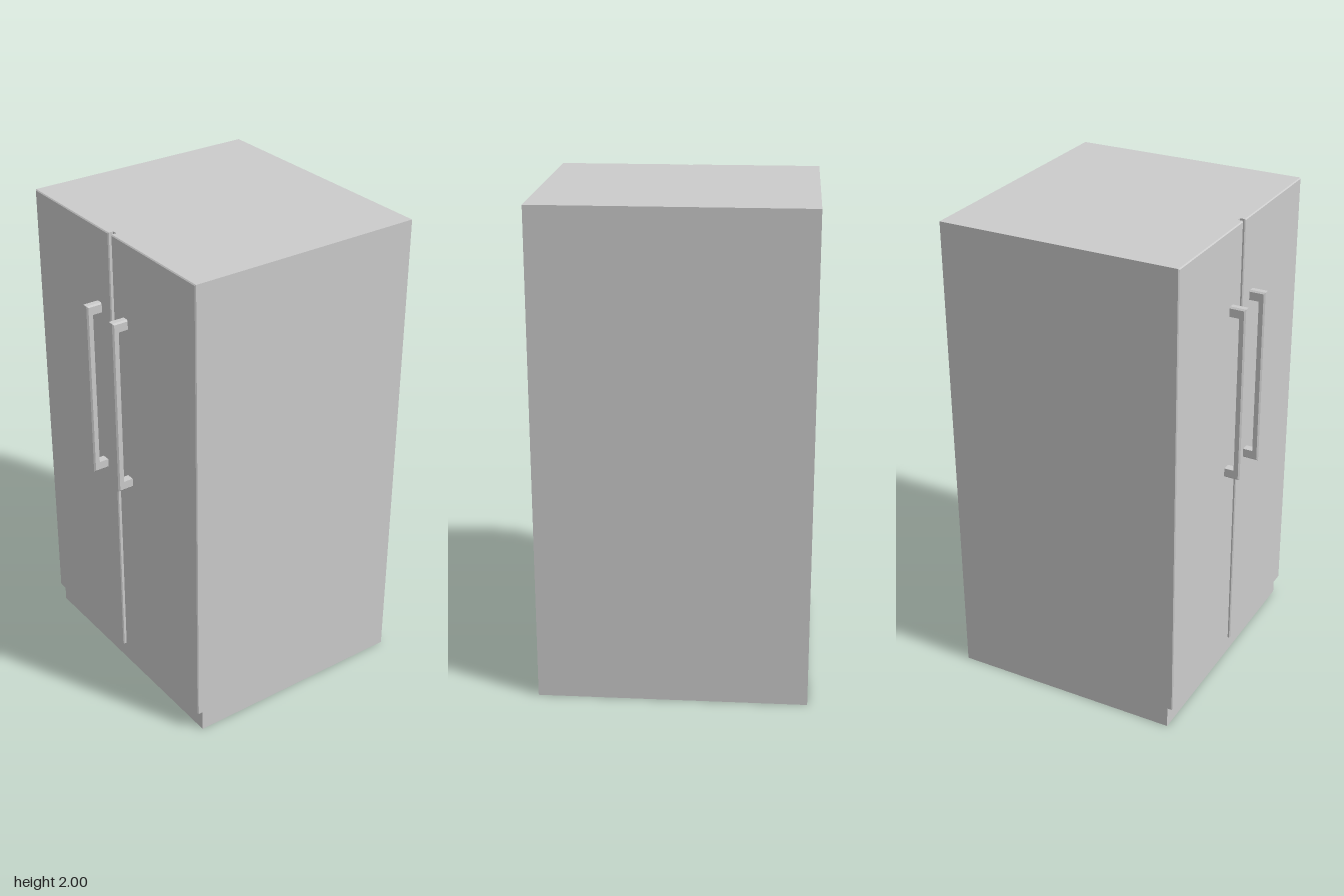
import * as THREE from 'three';

const material = new THREE.MeshStandardMaterial({ color: 0xcccccc, flatShading: true });

// Closed solid through convex cross-sections, each counter-clockwise seen from the far end
function loft(rings) {
  const pos = [];
  const tri = (...pts) => pts.forEach((p) => pos.push(...p));
  const n = rings[0].length;
  for (let i = 0; i < rings.length - 1; i++) {
    for (let j = 0; j < n; j++) {
      const k = (j + 1) % n;
      const [a, b, c, d] = [rings[i][j], rings[i][k], rings[i + 1][k], rings[i + 1][j]];
      tri(a, b, c);
      tri(a, c, d);
    }
  }
  const first = rings[0], last = rings[rings.length - 1];
  for (let j = 1; j < n - 1; j++) {
    tri(first[0], first[j + 1], first[j]);
    tri(last[0], last[j], last[j + 1]);
  }
  const geometry = new THREE.BufferGeometry();
  geometry.setAttribute('position', new THREE.Float32BufferAttribute(pos, 3));
  geometry.computeVertexNormals();
  return geometry;
}

// Door panel with a small chamfer around its outer face
function doorGeometry(z0, z1) {
  const ring = (x, inset) => {
    const y0 = 0.09 + inset, y1 = 2 - inset, a = z0 + inset, b = z1 - inset;
    return [[x, y0, a], [x, y0, b], [x, y1, b], [x, y1, a]];
  };
  return loft([ring(-0.44, 0), ring(-0.459, 0), ring(-0.463, 0.004)]);
}

// C-shaped pull: a bar with chamfered outer edges, mitred at both corners
function handleGeometry(zMid) {
  const half = 0.0165, c = 0.006, z0 = zMid - half, z1 = zMid + half;
  const stations = [ // outer x, y and inner x, y
    [-0.46, 1.692, -0.46, 1.652],
    [-0.528, 1.692, -0.503, 1.652],
    [-0.528, 0.955, -0.503, 0.995],
    [-0.46, 0.955, -0.46, 0.995],
  ];
  return loft(stations.map(([ox, oy, ix, iy]) => {
    const sx = ox + c * Math.sign(ix - ox), sy = oy + c * Math.sign(iy - oy);
    return [[ix, iy, z0], [ix, iy, z1], [sx, sy, z1], [ox, oy, z1 - c], [ox, oy, z0 + c], [sx, sy, z0]];
  }));
}

export function createModel() {
  const group = new THREE.Group();
  group.name = 'refrigerator';
  const add = (name, geometry) => {
    const mesh = new THREE.Mesh(geometry, material);
    mesh.name = name;
    group.add(mesh);
    return mesh;
  };

  // Cabinet, with its plinth showing below the doors
  add('cabinet', new THREE.BoxGeometry(0.966, 2, 1.086)).position.set(0.043, 1, 0);

  // Two doors on the -x side with a narrow gap, and their pulls beside it
  add('doorBack', doorGeometry(-0.543, -0.012));
  add('doorFront', doorGeometry(0.008, 0.543));
  add('handleBack', handleGeometry(-0.0935));
  add('handleFront', handleGeometry(0.0875));

  return group;
}
